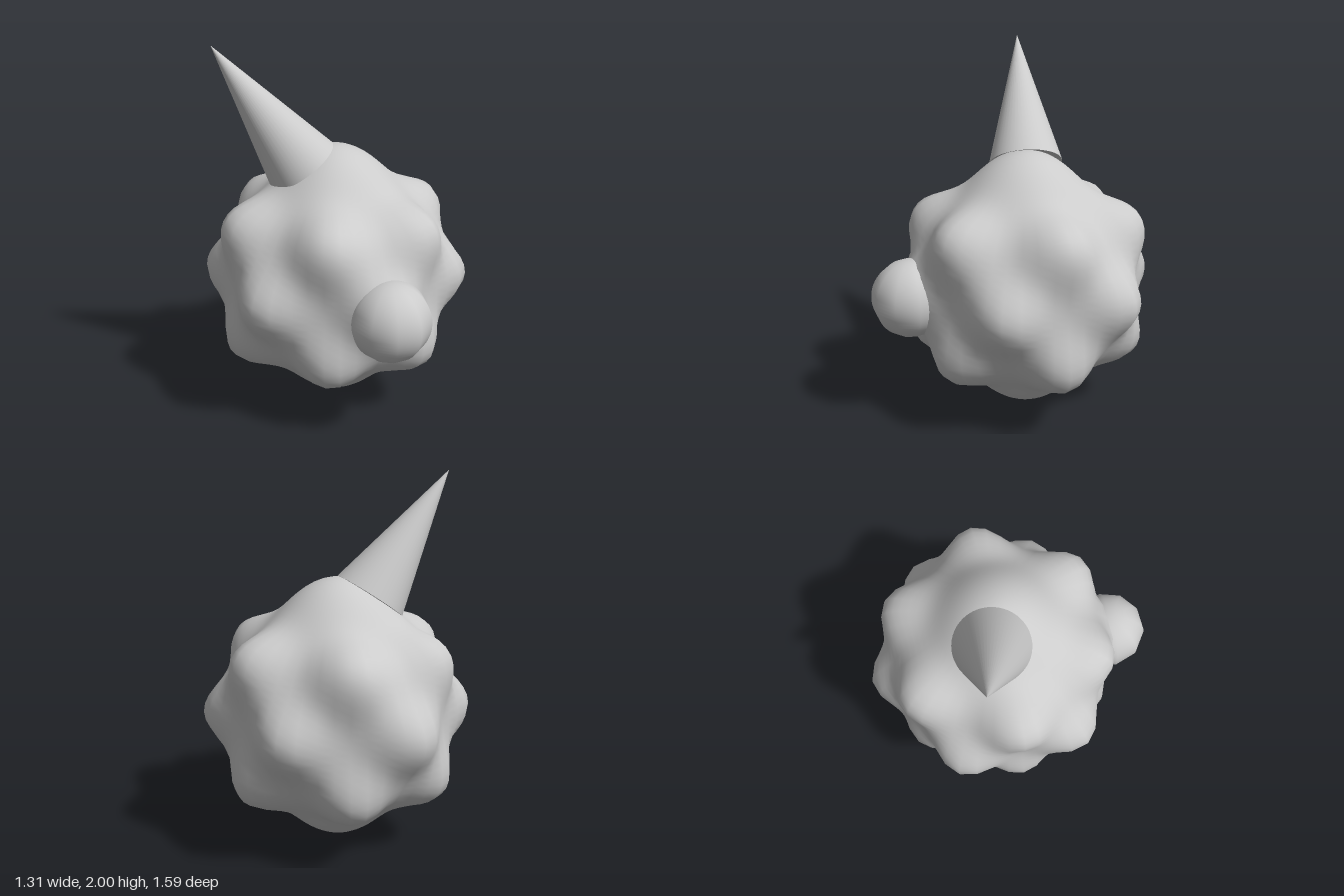
import * as THREE from 'three';
import { mergeVertices } from 'three/addons/utils/BufferGeometryUtils.js';

const mat = new THREE.MeshStandardMaterial({ color: 0xcccccc });

// Unit direction from latitude and azimuth in degrees
function direction(lat, az) {
  const a = THREE.MathUtils.degToRad(lat), b = THREE.MathUtils.degToRad(az);
  return new THREE.Vector3(Math.cos(a) * Math.cos(b), Math.sin(a), Math.cos(a) * Math.sin(b));
}

// Sphere swollen by rounded bumps: one per pole, six on the equator,
// and six staggered between them on each row above and below
function bumpyBall() {
  const bumps = [];
  const addBump = (lat, az, height, width) =>
    bumps.push({ dir: direction(lat, az), height, width: THREE.MathUtils.degToRad(width) });
  for (const lat of [90, -90]) addBump(lat, 0, 0.162, 21);
  for (const az of [30, 90, 150, 210, 270, 330]) addBump(0, az, 0.164, 12.7);
  for (const az of [0, 62, 118, 180, 242, 298]) {
    for (const lat of [31, -31]) addBump(lat, az, 0.165, 12.7);
  }

  let geo = new THREE.SphereGeometry(1, 48, 48);
  geo.deleteAttribute('uv');
  geo.deleteAttribute('normal');
  geo = mergeVertices(geo, 1e-4);
  const pos = geo.attributes.position;
  const v = new THREE.Vector3();
  for (let i = 0; i < pos.count; i++) {
    v.fromBufferAttribute(pos, i).normalize();
    let r = 0.566;
    for (const b of bumps) {
      const angle = v.angleTo(b.dir) / b.width;
      r += b.height * Math.exp(-0.5 * angle * angle);
    }
    v.multiplyScalar(r);
    pos.setXYZ(i, v.x, v.y, v.z);
  }
  geo.computeVertexNormals();
  return geo;
}

export function createModel() {
  const model = new THREE.Group();
  const add = (name, geo) => {
    const mesh = new THREE.Mesh(geo, mat);
    mesh.name = name;
    model.add(mesh);
    return mesh;
  };

  // Lumpy body
  add('body', bumpyBall()).position.set(0, 0.73, -0.06);

  // Round nose, few segments around and many from pole to pole
  add('nose', new THREE.SphereGeometry(0.212, 10, 32)).position.set(0, 0.705, 0.598);

  // Pointed hat tilted to one side
  const base = new THREE.Vector3(-0.165, 1.345, -0.122);
  const tip = new THREE.Vector3(-0.605, 2, -0.235);
  const axis = tip.clone().sub(base);
  const hat = add('hat', new THREE.ConeGeometry(0.205, axis.length(), 48));
  hat.position.copy(base).add(tip).multiplyScalar(0.5);
  hat.quaternion.setFromUnitVectors(new THREE.Vector3(0, 1, 0), axis.normalize());

  return model;
}
